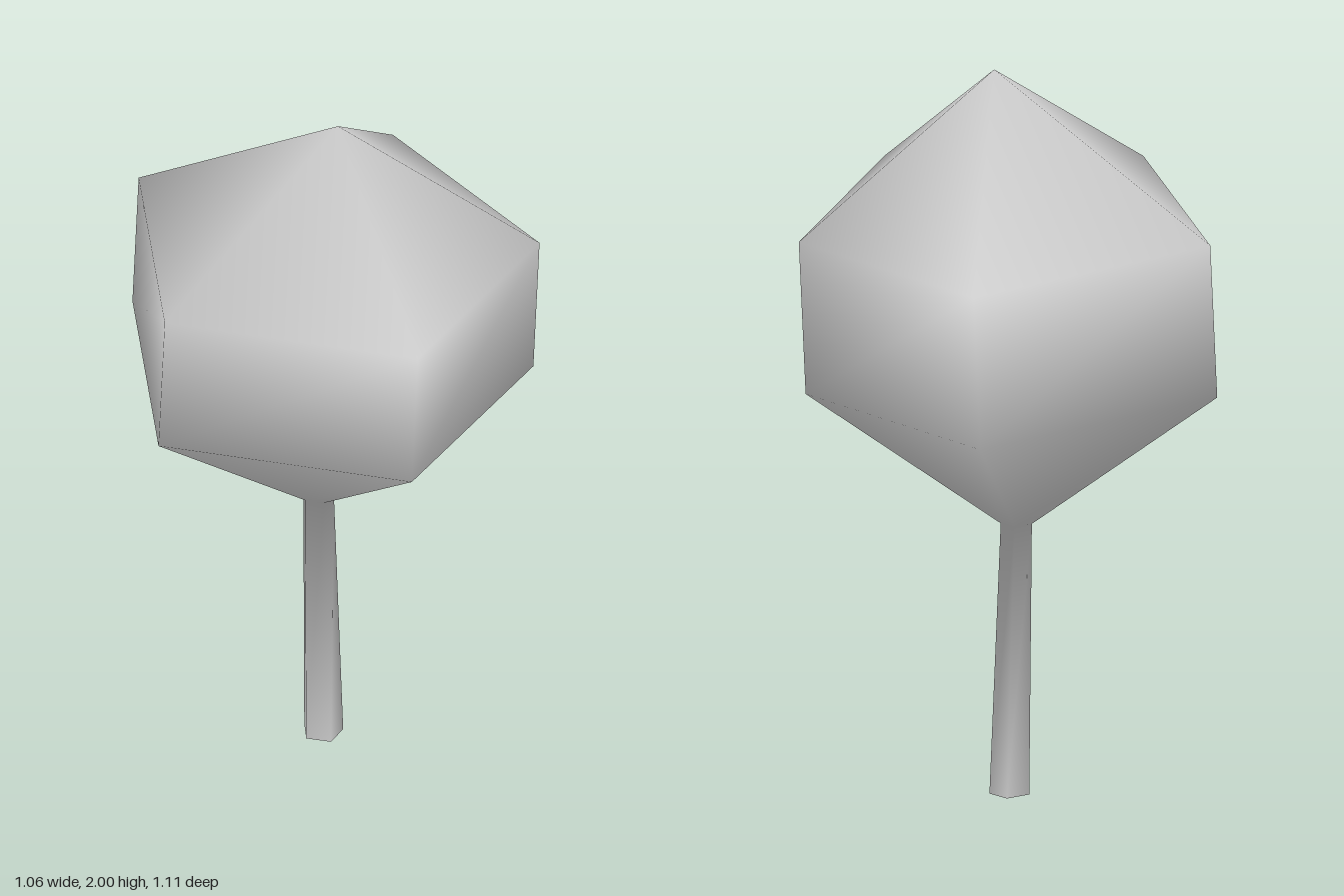
import * as THREE from 'three';

export function createModel() {
  const grey = new THREE.MeshStandardMaterial({ color: 0xcccccc });
  grey.name = 'light grey';

  // Widest crown ring: five slightly uneven, tilted corners
  const crownTop = [
    [0.525, 1.555, -0.225], [0.455, 1.57, 0.39], [-0.16, 1.61, 0.555],
    [-0.53, 1.62, -0.015], [-0.108, 1.588, -0.535],
  ];
  const crownBottom = crownTop.map(([x, y, z]) => [x - 0.003, y - 0.417, z - 0.02]);

  // Trunk rings share the crown's corner directions
  const trunkRing = (cx, y, cz, r) => crownTop.map(([x, , z]) => {
    const a = Math.atan2(z - 0.034, x - 0.036);
    return [cx + r * Math.cos(a), y, cz + r * Math.sin(a)];
  });

  const rings = [
    crownTop,
    crownBottom,
    trunkRing(0.027, 0.757, -0.006, 0.043),
    trunkRing(0.013, 0, 0.026, 0.055),
  ];
  const n = crownTop.length;
  const points = [...rings.flat(), [0.04, 2, 0.057], [0.013, 0, 0.026]];
  const tip = points.length - 2, base = points.length - 1;

  // Skin: tip fan, bands between rings, base fan
  const index = [];
  for (let i = 0; i < n; i++) {
    const j = (i + 1) % n;
    index.push(tip, j, i);
    for (let r = 0; r < rings.length - 1; r++) {
      const a = r * n + i, b = r * n + j, c = a + n, d = b + n;
      index.push(a, b, d, a, d, c);
    }
    const last = (rings.length - 1) * n;
    index.push(last + i, last + j, base);
  }

  // Crown and trunk are one smooth-shaded skin
  const geometry = new THREE.BufferGeometry();
  geometry.setAttribute('position', new THREE.Float32BufferAttribute(points.flat(), 3));
  geometry.setIndex(index);
  geometry.computeVertexNormals();

  const tree = new THREE.Mesh(geometry, grey);
  tree.name = 'crownAndTrunk';
  const group = new THREE.Group();
  group.name = 'tree';
  group.add(tree);
  return group;
}
